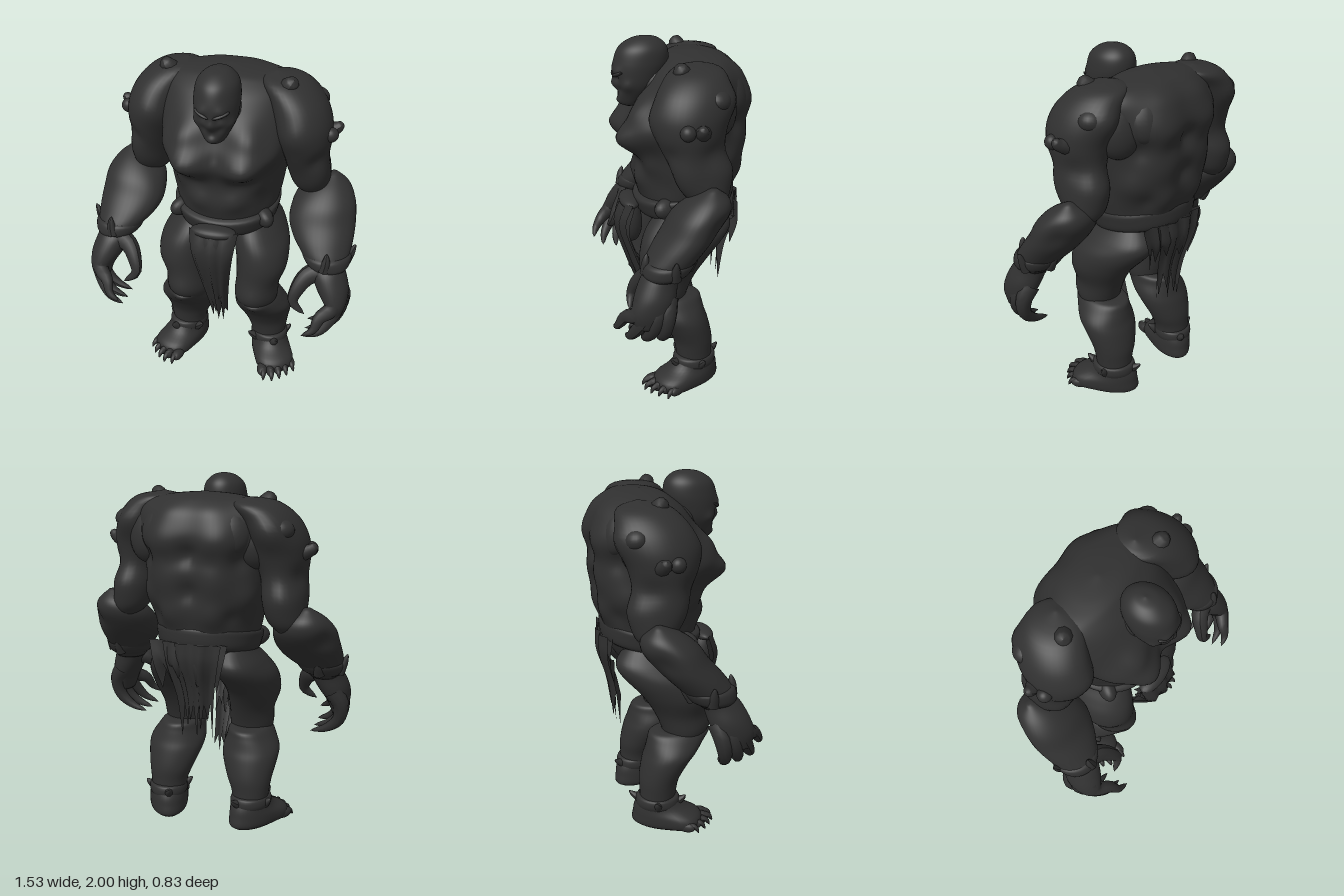
import * as THREE from 'three';

const hide = new THREE.MeshStandardMaterial({ color: 0x303030 });
hide.name = 'charcoal';
const cloth = hide.clone();
cloth.name = 'charcoalCloth';
cloth.side = THREE.DoubleSide;

function add(parent, name, geo, mat = hide) {
  const m = new THREE.Mesh(geo, mat);
  m.name = name;
  parent.add(m);
  return m;
}

// Rounded body through ascending sections [x, y, z, rx, rz]; bumps are [x, y, z, radius, height]
function loft(sections, { n = 2, bumps = [], seg = 36, rows = 36 } = {}) {
  const mid = new THREE.CatmullRomCurve3(sections.map(s => new THREE.Vector3(s[0], s[1], s[2])), false, 'catmullrom');
  const rad = new THREE.CatmullRomCurve3(sections.map(s => new THREE.Vector3(s[3], s[4], 0)), false, 'catmullrom');
  const pos = [], idx = [];
  const pw = v => Math.sign(v) * Math.abs(v) ** (2 / n);
  for (let i = 0; i <= rows; i++) {
    const c = mid.getPoint(i / rows), r = rad.getPoint(i / rows);
    for (let j = 0; j < seg; j++) {
      const a = j / seg * Math.PI * 2, ca = Math.cos(a), sa = Math.sin(a);
      const p = new THREE.Vector3(c.x + pw(ca) * Math.max(r.x, .001), c.y, c.z + pw(sa) * Math.max(r.y, .001));
      let d = 0;
      for (const b of bumps) {
        const q = (p.x - b[0]) ** 2 + (p.y - b[1]) ** 2 + (p.z - b[2]) ** 2;
        d += b[4] * Math.exp(-q / (b[3] * b[3]));
      }
      pos.push(p.x + ca * d, p.y, p.z + sa * d);
      if (i < rows) {
        const A = i * seg + j, B = i * seg + (j + 1) % seg;
        idx.push(A, A + seg, B, B, A + seg, B + seg);
      }
    }
  }
  const lo = mid.getPoint(0), hi = mid.getPoint(1), k = pos.length / 3;
  pos.push(lo.x, lo.y, lo.z, hi.x, hi.y, hi.z);
  for (let j = 0; j < seg; j++) {
    const j2 = (j + 1) % seg;
    idx.push(k, j, j2, k + 1, rows * seg + j2, rows * seg + j);
  }
  const g = new THREE.BufferGeometry();
  g.setAttribute('position', new THREE.Float32BufferAttribute(pos, 3));
  g.setIndex(idx);
  g.computeVertexNormals();
  return g;
}

// Curved, tapering claw shape along a few points
function taper(points, r, power = .6) {
  const curve = new THREE.CatmullRomCurve3(points.map(p => new THREE.Vector3(...p)));
  const seg = 14, rs = 10, g = new THREE.TubeGeometry(curve, seg, r, rs), p = g.attributes.position;
  const v = new THREE.Vector3();
  for (let i = 0; i < p.count; i++) {
    const t = Math.floor(i / (rs + 1)) / seg, c = curve.getPointAt(t);
    v.fromBufferAttribute(p, i).sub(c).multiplyScalar((1 - t) ** power).add(c);
    p.setXYZ(i, v.x, v.y, v.z);
  }
  g.computeVertexNormals();
  return g;
}

function blob(parent, name, x, y, z, sx, sy, sz, rx = 0, ry = 0, rz = 0) {
  const m = add(parent, name, new THREE.SphereGeometry(1, 24, 16));
  m.position.set(x, y, z);
  m.scale.set(sx, sy, sz);
  m.rotation.set(rx, ry, rz);
  return m;
}

// Hanging rag; path rows are [y, z, halfWidth]; jag is the depth of the torn hem
function rag(parent, name, x, path, jag, cols = 12) {
  const g = new THREE.PlaneGeometry(2, 1, cols, 12), p = g.attributes.position;
  const curve = new THREE.CatmullRomCurve3(path.map(q => new THREE.Vector3(...q)));
  for (let i = 0; i < p.count; i++) {
    const u = p.getX(i), t = .5 - p.getY(i), col = i % (cols + 1);
    const c = curve.getPoint(t), tear = (col % 2 ? 1 : .25 * (col % 3)) * jag * t * t;
    const wrap = Math.sign(path[0][1]) * u * u * .03;
    p.setXYZ(i, x + u * c.z, c.x + tear, c.y + Math.cos(u * 9) * .013 - wrap);
  }
  g.computeVertexNormals();
  return add(parent, name, g, cloth);
}

function buildArm(arm) {
  // Deltoid and upper arm
  add(arm, 'upperArm', loft([
    [.49, 1.2, -.12, .05, .05], [.47, 1.27, -.1, .1, .11], [.45, 1.38, -.07, .115, .13], [.44, 1.49, -.03, .125, .155],
    [.425, 1.6, -.02, .15, .185], [.41, 1.7, -.03, .155, .195], [.37, 1.8, -.05, .145, .18], [.3, 1.88, -.08, .12, .13], [.26, 1.91, -.09, .01, .01]],
  { bumps: [[.52, 1.36, .04, .09, .03], [.47, 1.4, -.2, .1, .04], [.5, 1.5, .08, .05, -.02], [.52, 1.5, -.1, .06, -.02], [.4, 1.66, .17, .08, .02], [.42, 1.75, -.22, .08, .03]] }));
  // Bony knobs and spurs
  blob(arm, 'shoulderKnob', .57, 1.63, .02, .04, .04, .04);
  blob(arm, 'shoulderKnob', .45, 1.755, -.15, .08, .06, .07);
  add(arm, 'shoulderSpur', taper([[.29, 1.8, -.03], [.33, 1.86, 0], [.355, 1.9, .02], [.365, 1.915, .03]], .065, .3));
  add(arm, 'shoulderSpur', taper([[.54, 1.62, -.06], [.59, 1.64, -.05], [.62, 1.67, -.05]], .045, .35));
  // Forearm and torn bracer
  add(arm, 'forearm', loft([
    [.62, .88, .16, .085, .09], [.605, .95, .13, .125, .125], [.575, 1.03, .07, .165, .14], [.56, 1.12, 0, .18, .145],
    [.56, 1.21, -.055, .17, .145], [.57, 1.28, -.09, .115, .105], [.59, 1.34, -.11, .02, .02]],
  { bumps: [[.72, 1.16, -.14, .08, -.03], [.42, 1.12, .06, .08, .015]] }));
  add(arm, 'bracer', loft([[.625, .9, .155, .1, .1], [.615, .925, .14, .125, .125], [.605, .97, .12, .138, .135], [.6, .99, .1, .12, .11]], { rows: 12 }));
  add(arm, 'bracerSpike', taper([[.71, .92, .11], [.74, .98, .11], [.76, 1.03, .11]], .035));
  add(arm, 'bracerSpike', taper([[.61, .92, .24], [.62, .98, .245], [.62, 1.03, .24]], .035));
  add(arm, 'bracerSpike', taper([[.62, .93, .03], [.62, .99, -.01], [.61, 1.04, -.03]], .035));
  // Hand with curled clawed fingers, fanning forward
  add(arm, 'palm', loft([[.69, .64, .23, .04, .08], [.685, .72, .225, .065, .105], [.66, .8, .205, .09, .11], [.63, .88, .18, .095, .1], [.62, .93, .15, .09, .09]], { rows: 20 }));
  const tips = [[.51, .17], [.51, .25], [.52, .33], [.575, .39]];
  tips.forEach(([y, tz], i) => {
    const z = .14 + i * .04, zAt = t => z + (tz - z) * t, inset = i * i * .009;
    add(arm, 'finger', taper([[.67, .79, z], [.715 - inset / 2, .71, zAt(.3)], [.7 - inset, y + .1, zAt(.7)], [.63 - inset / 2, y + .035, zAt(1)], [.53, y, zAt(1.12)]], .055));
  });
  add(arm, 'thumb', taper([[.62, .88, .19], [.53, .86, .22], [.475, .79, .27], [.46, .72, .3], [.53, .66, .32]], .064));
}

function buildLeg(leg) {
  add(leg, 'thigh', loft([
    [.2, .48, .06, .09, .09], [.205, .57, .08, .125, .125], [.21, .68, .06, .125, .15], [.225, .8, .03, .145, .19],
    [.215, .9, -.01, .155, .215], [.185, .98, -.05, .14, .215], [.16, 1.05, -.07, .11, .17], [.15, 1.12, -.07, .08, .12]],
  { bumps: [[.21, .62, .22, .08, .03], [.32, .78, .1, .1, .015], [.18, .95, -.24, .13, .04]] }));
  // Greave with a raised rim
  add(leg, 'greave', loft([
    [.255, .14, -.09, .1, .1], [.255, .22, -.085, .11, .105], [.245, .3, -.075, .132, .115], [.235, .4, -.035, .16, .135],
    [.23, .46, 0, .164, .15], [.22, .52, .03, .14, .165], [.21, .56, .045, .122, .165], [.21, .575, .05, .1, .12]],
  { bumps: [[.22, .55, .23, .06, .02]] }));
  // Foot, turned outward
  const foot = new THREE.Group();
  foot.name = 'foot';
  foot.position.set(.27, 0, -.07);
  foot.rotation.y = .42;
  leg.add(foot);
  add(foot, 'ankleWrap', loft([[0, .12, -.02, .1, .12], [0, .15, -.02, .112, .128], [0, .185, -.02, .108, .122], [0, .195, -.02, .09, .1]], { rows: 10 }));
  [[-.13, .02], [.12, 0], [0, -.17], [0, .13]].forEach(([x, z]) =>
    add(foot, 'ankleSpike', taper([[x * .7, .15, z * .7], [x, .18, z], [x * 1.1, .195, z * 1.1]], .03)));
  add(foot, 'footBody', loft([[0, .005, .03, .085, .17], [0, .03, .03, .11, .2], [0, .08, .025, .115, .19], [0, .13, -.01, .105, .145], [0, .2, -.02, .095, .1]],
    { rows: 20, bumps: [[.07, .05, .16, .07, .03], [-.07, .05, .16, .07, .03]] }));
  for (let i = 0; i < 5; i++) {
    const x = -.088 + i * .044, z = [.2, .215, .205, .185, .155][i];
    blob(foot, 'toe', x, .04, z, i ? .027 : .034, .032, .06, 0, (i - 2) * .15);
    add(foot, 'claw', taper([[x, .05, z + .03], [x * 1.08, .042, z + .06], [x * 1.15, .012, z + .08]], .021));
  }
}

export function createModel() {
  const model = new THREE.Group();
  model.name = 'brute';

  // Torso with pectorals, belly rolls and heavy back muscles
  const half = [
    [.13, 1.48, .23, .1, .145], [.27, 1.54, .17, .1, .06], [.1, 1.24, .22, .07, .03], [.12, 1.36, .22, .06, -.02],
    [.22, 1.34, .18, .06, .025], [.28, 1.22, .1, .08, -.015], [.16, 1.68, -.38, .12, .04], [.15, 1.46, -.38, .12, .04],
    [.12, 1.27, -.34, .09, .035], [.27, 1.36, -.26, .09, .03], [.28, 1.82, -.14, .1, .05], [.28, 1.57, -.32, .06, -.03],
    [.13, 1.57, -.42, .05, -.025], [.16, 1.64, .2, .08, .055], [.22, 1.26, -.32, .05, -.02], [.1, 1.82, -.3, .08, .02]];
  const bumps = half.flatMap(b => [b, [-b[0], ...b.slice(1)]]);
  bumps.push([0, 1.6, -.4, .06, -.04], [0, 1.4, -.4, .06, -.04], [0, 1.2, .22, .08, .01], [0, 1.52, .25, .04, -.02]);
  add(model, 'torso', loft([
    [0, .9, -.05, .1, .1], [0, .98, -.06, .2, .2], [0, 1.1, -.07, .27, .25], [0, 1.22, -.07, .305, .27],
    [0, 1.38, -.08, .33, .285], [0, 1.54, -.08, .36, .295], [0, 1.68, -.1, .38, .29], [0, 1.8, -.12, .35, .24],
    [0, 1.87, -.13, .28, .17], [0, 1.9, -.13, .17, .11], [0, 1.915, -.13, .01, .01]],
  { n: 2.1, bumps, seg: 96, rows: 110 }));

  // Neck and head
  blob(model, 'neck', 0, 1.74, .08, .13, .13, .13);
  const face = [-1, 1].flatMap(s => [[s * .05, 1.785, .32, .026, -.025], [s * .055, 1.82, .31, .03, .012], [s * .09, 1.75, .25, .03, .012], [s * .05, 1.72, .3, .025, -.012]]);
  add(model, 'head', loft([
    [0, 1.625, .23, .02, .02], [0, 1.64, .225, .05, .05], [0, 1.68, .21, .075, .085], [0, 1.74, .19, .105, .12],
    [0, 1.8, .18, .117, .14], [0, 1.87, .165, .12, .148], [0, 1.94, .155, .106, .13], [0, 1.985, .145, .06, .075], [0, 2, .14, .005, .005]],
  { bumps: [...face, [0, 1.75, .32, .025, .015], [0, 1.695, .3, .025, -.015], [0, 1.655, .28, .03, .015]], seg: 64, rows: 56 }));
  for (const s of [-1, 1]) {
    const brow = blob(model, 'brow', s * .05, 1.808, .298, .048, .011, .02, 0, s * .4, s * .35);
    brow.name = s > 0 ? 'leftBrow' : 'rightBrow';
  }

  // Mirrored limbs and back plates
  for (const s of [1, -1]) {
    const side = new THREE.Group(), arm = new THREE.Group(), leg = new THREE.Group();
    const label = s > 0 ? 'left' : 'right';
    side.name = label + 'Side';
    arm.name = label + 'Arm';
    leg.name = label + 'Leg';
    buildArm(arm);
    buildLeg(leg);
    // The right shoulder is drawn back a little
    if (s < 0) {
      arm.rotation.x = -.08;
      arm.position.z = .048;
    }
    side.add(arm, leg);
    blob(side, 'shoulderBlade', .19, 1.73, -.27, .12, .14, .09, .45, -.3, .3);
    blob(side, 'rearShoulder', .31, 1.68, -.18, .13, .16, .1, .2, -.5, 0);
    side.scale.x = s;
    model.add(side);
  }

  // Belt, tilted down toward the front
  const belt = add(model, 'belt', loft([[0, -.07, 0, .25, .24], [0, -.05, 0, .28, .27], [0, 0, 0, .295, .285], [0, .045, 0, .3, .285], [0, .06, 0, .26, .24]], { n: 2.1, rows: 14, seg: 48 }));
  belt.position.set(0, 1.11, -.07);
  belt.rotation.x = .17;
  for (const s of [-1, 1]) blob(model, 'beltKnot', s * .23, 1.1, .06, .05, .06, .09, 0, s * .6, s * .3);
  blob(model, 'clothRoll', -.01, 1.07, .24, .13, .035, .06);
  blob(model, 'clothBundle', -.01, .95, .24, .08, .14, .07, .1);

  // Ragged front and back cloths
  rag(model, 'frontCloth', -.01, [[1.08, .28, .14], [.95, .32, .12], [.75, .27, .09], [.55, .2, .065], [.34, .12, .045]], .1, 8);
  rag(model, 'frontClothLayer', -.01, [[1.06, .27, .13], [.9, .3, .11], [.7, .24, .08], [.55, .18, .06]], .12, 10);
  rag(model, 'backCloth', 0, [[1.12, -.36, .17], [1, -.36, .15], [.8, -.31, .11], [.56, -.28, .09]], .2);
  rag(model, 'backClothLayer', .03, [[1.12, -.34, .23], [.98, -.35, .2], [.84, -.32, .16]], .14);
  return model;
}
